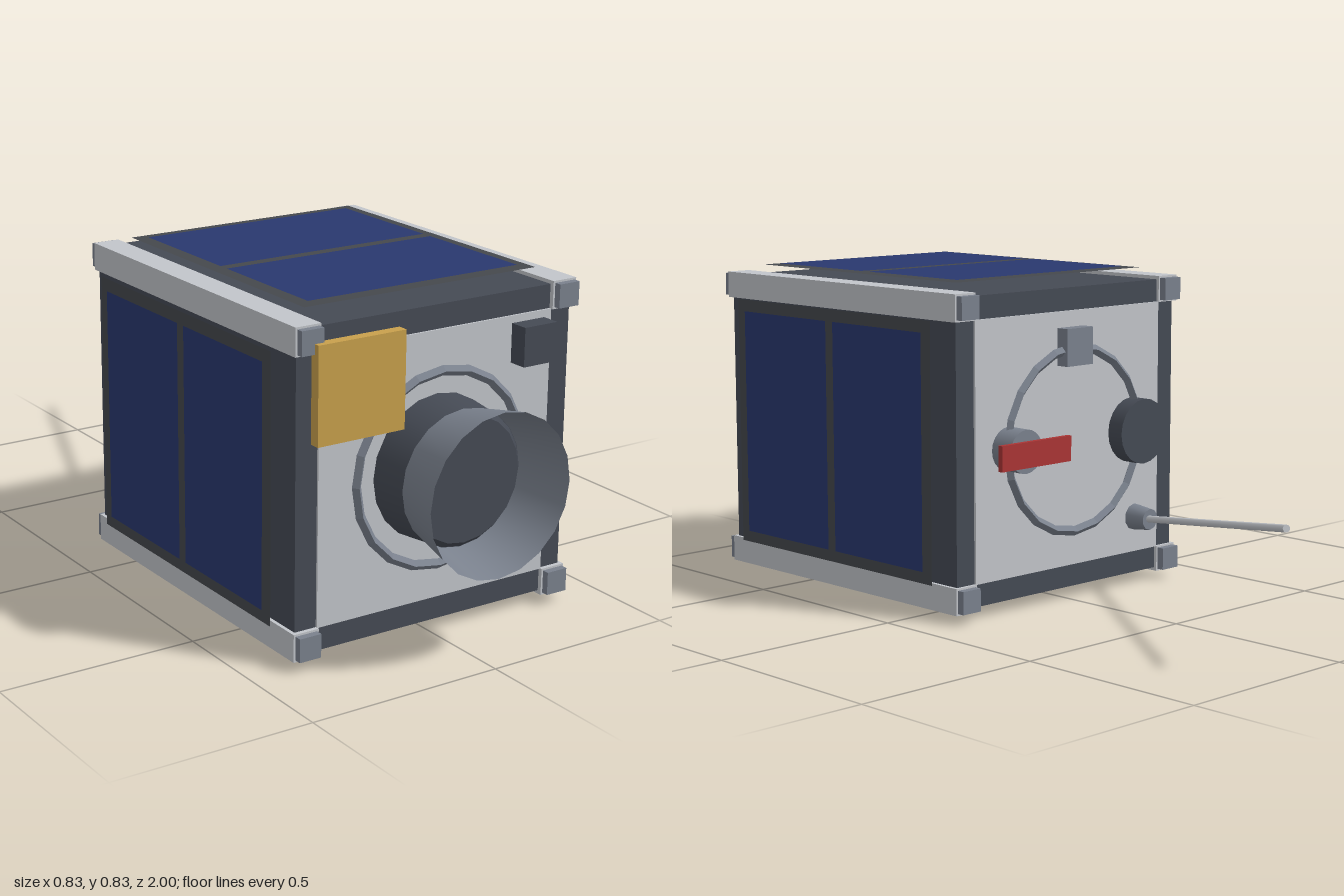
import * as THREE from 'three';

const mat = (name, color, extra = {}) => {
  const m = new THREE.MeshStandardMaterial({ color, ...extra });
  m.name = name;
  return m;
};

export function createModel() {
  const CY = 0.417; // height of the long axis
  const dark = mat('dark grey', 0x454a54);
  const panelGrey = mat('panel grey', 0x45484d);
  const silver = mat('silver', 0xc2c5ca);
  const steel = mat('steel', 0x7a818d);
  const bell = mat('bell steel', 0x7a818d, { side: THREE.DoubleSide });
  const blue = mat('cell blue', 0x29386f);
  const gold = mat('gold', 0xc8a04c);
  const red = mat('red', 0xaa3535);

  const model = new THREE.Group();
  model.name = 'satellite';
  const add = (name, geo, material, x = 0, y = 0, z = 0, parent = model) => {
    const mesh = new THREE.Mesh(geo, material);
    mesh.name = name;
    mesh.position.set(x, y, z);
    parent.add(mesh);
    return mesh;
  };
  // box given by its x, y, z ranges
  const box = (name, material, x0, x1, y0, y1, z0, z1) =>
    add(name, new THREE.BoxGeometry(x1 - x0, y1 - y0, z1 - z0), material,
      (x0 + x1) / 2, (y0 + y1) / 2, (z0 + z1) / 2);
  // flat sheet facing up, centred on x = 0
  const sheet = (name, material, halfX, y, z0, z1, parent) =>
    add(name, new THREE.PlaneGeometry(2 * halfX, z1 - z0).rotateX(-Math.PI / 2), material,
      0, y, (z0 + z1) / 2, parent);
  // cylinder along z, with r0 at z0 and r1 at z1
  const tube = (name, material, x, y, z0, z1, r0, r1, sides = 20, open = false) =>
    add(name, new THREE.CylinderGeometry(r1, r0, z1 - z0, sides, 1, open).rotateX(Math.PI / 2),
      material, x, y, (z0 + z1) / 2);

  // body and end plates
  box('body', dark, -0.385, 0.385, CY - 0.385, CY + 0.385, -0.127, 0.755);
  box('frontPlate', silver, -0.327, 0.327, CY - 0.327, CY + 0.327, 0.755, 0.76);
  box('backPlate', silver, -0.327, 0.327, CY - 0.327, CY + 0.327, -0.133, -0.127);

  // corner rails with end caps
  for (const sx of [-1, 1]) for (const sy of [-1, 1]) {
    const x = sx * 0.36, y = CY + sy * 0.36;
    box('rail', silver, x - 0.034, x + 0.034, y - 0.034, y + 0.034, -0.135, 0.766);
    box('railCapFront', steel, x - 0.029, x + 0.029, y - 0.029, y + 0.029, 0.766, 0.784);
    box('railCapBack', steel, x - 0.029, x + 0.029, y - 0.029, y + 0.029, -0.154, -0.135);
  }

  // thin solar panels standing off the four long sides
  for (let i = 0; i < 4; i++) {
    const panel = new THREE.Group();
    panel.name = 'solarPanel';
    panel.position.y = CY;
    panel.rotation.z = i * Math.PI / 2;
    model.add(panel);
    sheet('panelFrame', panelGrey, 0.326, 0.413, -0.066, 0.698, panel);
    sheet('solarCell', blue, 0.296, 0.416, -0.035, 0.302, panel);
    sheet('solarCell', blue, 0.296, 0.416, 0.33, 0.667, panel);
  }

  // faceted mounting rings, front and back
  const ring = new THREE.TorusGeometry(0.235, 0.0125, 4, 20).toNonIndexed();
  ring.computeVertexNormals();
  add('frontRing', ring, steel, 0, CY, 0.777);
  add('backRing', ring, steel, 0, CY, -0.15);

  // nozzle
  tube('nozzleNeck', dark, 0, CY, 0.755, 0.856, 0.177, 0.166);
  tube('nozzleThroat', dark, 0, CY, 0.856, 0.872, 0.165, 0.151);
  tube('nozzleBell', bell, 0, CY, 0.856, 1, 0.166, 0.196, 20, true);

  // front equipment
  box('goldPanel', gold, -0.355, -0.12, 0.539, 0.772, 0.771, 0.798);
  box('sensorBox', dark, 0.211, 0.306, 0.631, 0.726, 0.76, 0.808);

  // back equipment
  box('ringBlock', steel, -0.046, 0.046, 0.608, 0.703, -0.168, -0.133);
  tube('darkDisc', dark, -0.225, CY, -0.18, -0.133, 0.085, 0.085);
  tube('tagPost', steel, 0.217, CY, -0.198, -0.133, 0.055, 0.055);
  box('redTag', red, 0.1, 0.335, CY - 0.032, CY + 0.032, -0.236, -0.223);

  // antenna
  tube('antennaMount', steel, -0.24, 0.183, -0.19, -0.133, 0.028, 0.035, 10);
  const path = new THREE.LineCurve3(
    new THREE.Vector3(-0.24, 0.183, -0.18), new THREE.Vector3(0.195, 0.34, -0.996));
  add('antennaRod', new THREE.TubeGeometry(path, 1, 0.009, 8), silver);
  const tip = add('antennaTip', new THREE.CircleGeometry(0.009, 8), silver, 0.195, 0.34, -0.996);
  tip.lookAt(0.63, 0.497, -1.812);

  return model;
}
